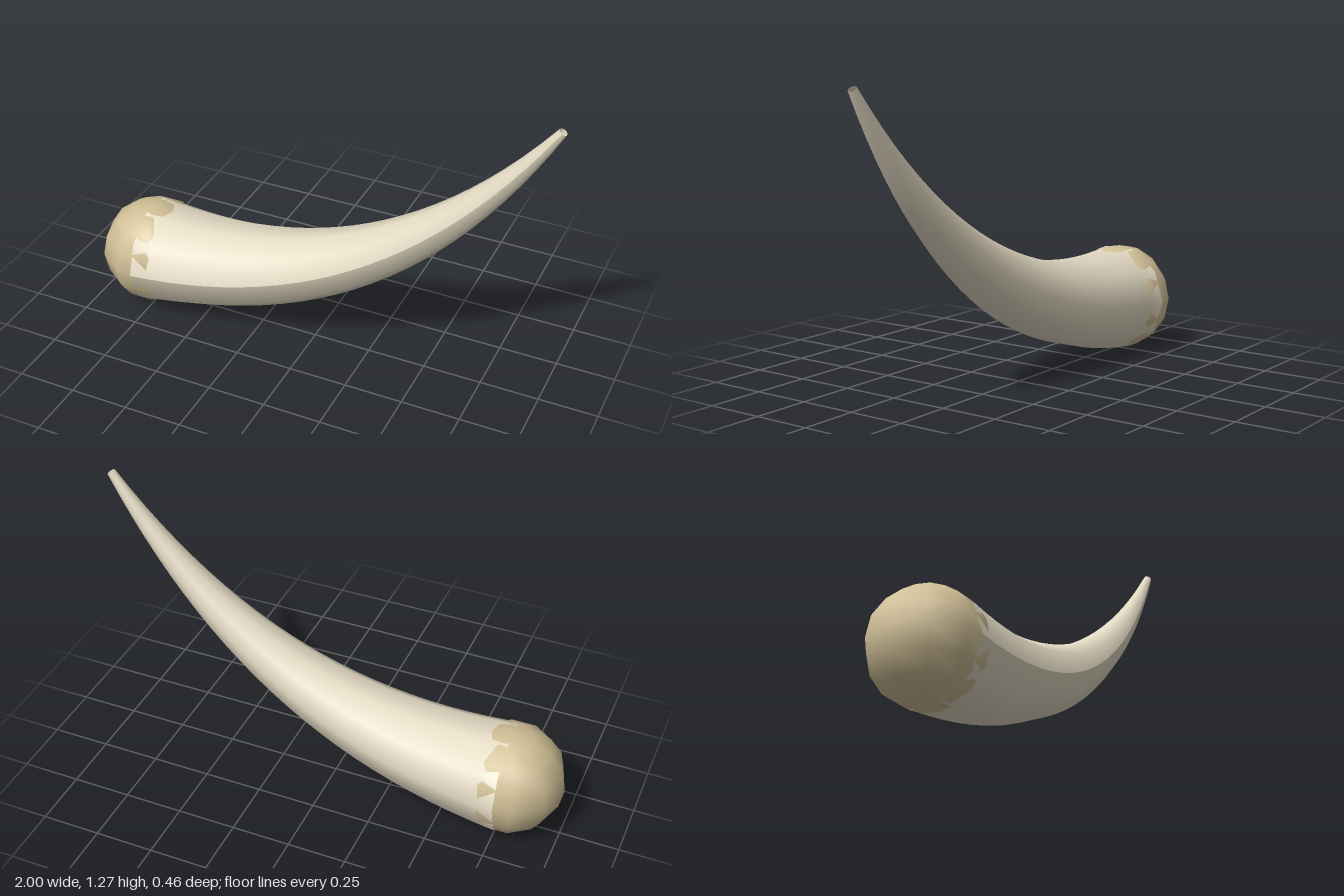
import * as THREE from 'three';

const SIDES = 10;
const RINGS = 24;
const BASE_RADIUS = 0.232;
const TIP_RADIUS = 0.018;

// Tapered ten-sided sweep along a curve in the xy plane; the seam lies on +z
function taperedSweep(curve) {
  const positions = [];
  const index = [];
  for (let i = 0; i <= RINGS; i++) {
    const t = i / RINGS;
    const c = curve.getPoint(t);
    const d = curve.getTangent(t);
    const r = THREE.MathUtils.lerp(BASE_RADIUS, TIP_RADIUS, t);
    for (let j = 0; j <= SIDES; j++) {
      const a = (j / SIDES) * Math.PI * 2;
      const n = Math.sin(a) * r;
      positions.push(c.x - d.y * n, c.y + d.x * n, Math.cos(a) * r);
    }
  }
  const row = SIDES + 1;
  for (let i = 0; i < RINGS; i++) {
    for (let j = 0; j < SIDES; j++) {
      const a = i * row + j;
      const b = a + row;
      index.push(a, b, a + 1, b, b + 1, a + 1);
    }
  }
  const geometry = new THREE.BufferGeometry();
  geometry.setAttribute('position', new THREE.Float32BufferAttribute(positions, 3));
  geometry.setIndex(index);
  geometry.computeVertexNormals();
  return geometry;
}

export function createModel() {
  const group = new THREE.Group();
  group.name = 'horn';

  const ivory = new THREE.MeshStandardMaterial({ color: 0xe2d9c2, side: THREE.DoubleSide });
  ivory.name = 'ivory';
  const tan = new THREE.MeshStandardMaterial({ color: 0xd0bf96 });
  tan.name = 'tan';

  // Curved shaft, open at both ends
  const curve = new THREE.QuadraticBezierCurve3(
    new THREE.Vector3(-0.768, 0.232, 0),
    new THREE.Vector3(0.32, 0.232, 0),
    new THREE.Vector3(0.985, 1.257, 0)
  );
  const shaft = new THREE.Mesh(taperedSweep(curve), ivory);
  shaft.name = 'hornShaft';
  group.add(shaft);

  // Rounded root closing the wide end
  const root = new THREE.Mesh(new THREE.SphereGeometry(BASE_RADIUS, 10, 8), tan);
  root.name = 'hornRoot';
  root.position.set(-0.768, 0.232, 0);
  group.add(root);

  return group;
}
